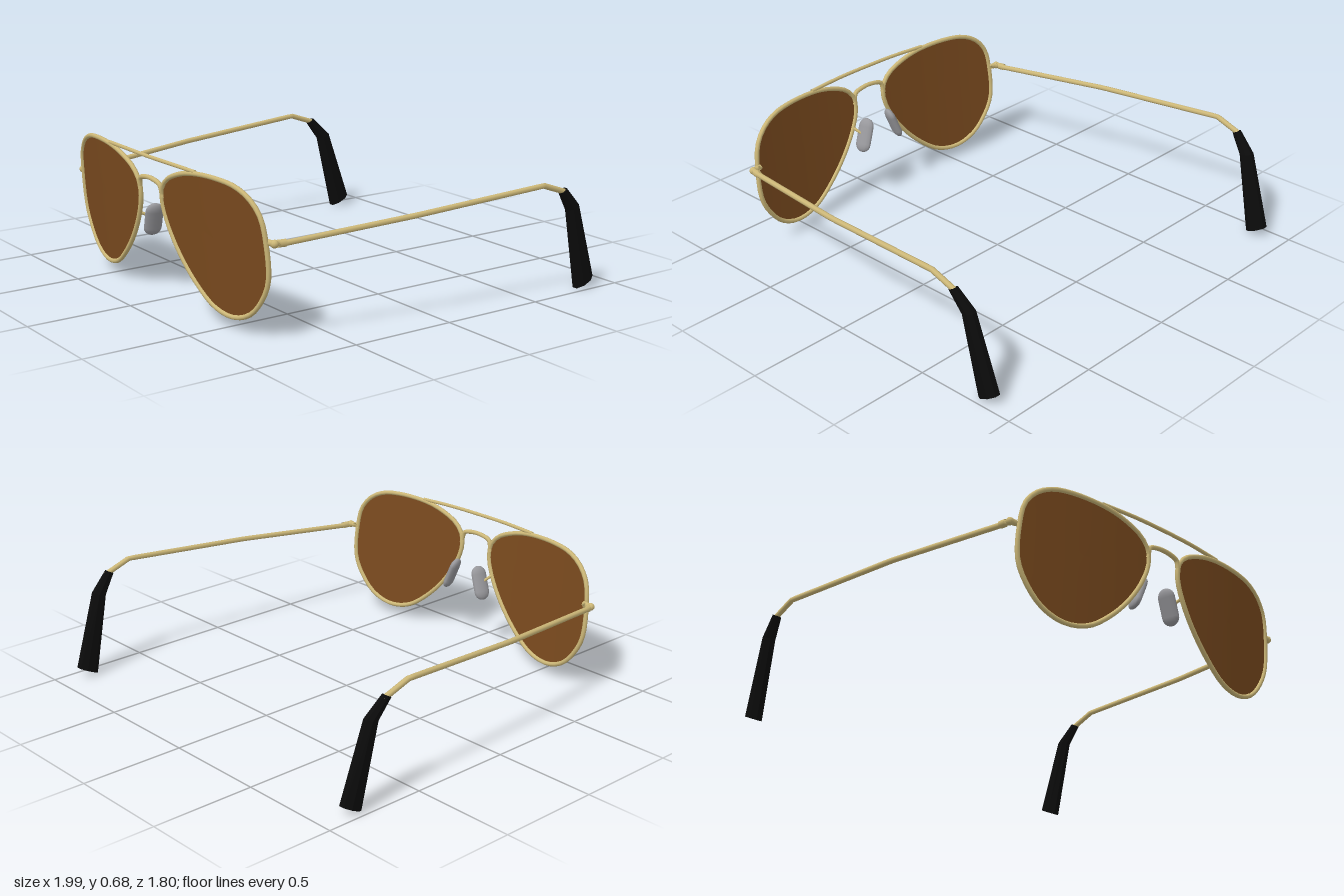
import * as THREE from 'three';

const mat = (name, color, side = THREE.FrontSide) => {
  const m = new THREE.MeshStandardMaterial({ color, side });
  m.name = name;
  return m;
};

// Half outline of one lens, seen from the front
const OUTLINE = [
  [0.095, 0.47], [0.1, 0.535], [0.145, 0.588], [0.25, 0.633], [0.36, 0.655], [0.52, 0.66],
  [0.635, 0.645], [0.715, 0.605], [0.768, 0.54], [0.788, 0.44], [0.786, 0.275], [0.74, 0.18],
  [0.66, 0.098], [0.55, 0.06], [0.425, 0.08], [0.3, 0.165], [0.195, 0.275], [0.125, 0.385],
];

// Gently wrapped and tilted front surface
const frontZ = (x, y) => 0.841 - 0.12 * x * x + 0.08 * y;
const onFront = (x, y) => new THREE.Vector3(x, y, frontZ(x, y));

// Curved sheet of concentric rings inside the rim
function lensGeometry(curve, cx, cy) {
  const rings = 6, n = 54, pos = [], idx = [];
  const edge = curve.getSpacedPoints(n);
  for (let i = 0; i <= rings; i++) {
    for (let j = 0; j < n; j++) {
      const t = i / rings;
      const x = cx + (edge[j].x - cx) * t, y = cy + (edge[j].y - cy) * t;
      pos.push(x, y, frontZ(x, y));
      if (i < rings) {
        const k = (j + 1) % n, a = i * n + j, b = i * n + k;
        // keep the front side facing +z on both lenses
        if (cx > 0) idx.push(a, b, a + n, b, b + n, a + n);
        else idx.push(a, a + n, b, b, a + n, b + n);
      }
    }
  }
  const g = new THREE.BufferGeometry();
  g.setAttribute('position', new THREE.Float32BufferAttribute(pos, 3));
  g.setIndex(idx);
  g.computeVertexNormals();
  return g;
}

// Faceted loft; each section is [x, y, z, halfWidth, vy, vz]
function loftGeometry(sections) {
  const n = 8, pos = [], idx = [];
  sections.forEach(([x, y, z, w, vy, vz], i) => {
    for (let j = 0; j < n; j++) {
      const a = ((j + 0.5) / n) * Math.PI * 2;
      const c = Math.cos(a) * 1.08, s = Math.sin(a) * 1.08;
      pos.push(x + w * c, y + vy * s, z + vz * s);
      if (i < sections.length - 1) {
        const k = (j + 1) % n, p = i * n + j, q = i * n + k;
        idx.push(p, p + n, q, q, p + n, q + n);
      }
    }
  });
  const g = new THREE.BufferGeometry();
  g.setAttribute('position', new THREE.Float32BufferAttribute(pos, 3));
  g.setIndex(idx);
  const flat = g.toNonIndexed();
  flat.computeVertexNormals();
  return flat;
}

export function createModel() {
  const gold = mat('gold metal', 0xcdb878, THREE.DoubleSide);
  const brown = mat('brown lens', 0x7a4a1e, THREE.DoubleSide);
  const black = mat('black rubber', 0x0b0b0b);
  const grey = mat('grey pad', 0x98989c);

  const model = new THREE.Group();
  model.name = 'sunglasses';
  const add = (name, geometry, material) => {
    const m = new THREE.Mesh(geometry, material);
    m.name = name;
    model.add(m);
    return m;
  };
  const wire = (name, points, radius, segments, tension = 0.5) =>
    add(name, new THREE.TubeGeometry(
      new THREE.CatmullRomCurve3(points, false, 'catmullrom', tension), segments, radius, 8), gold);

  for (const s of [1, -1]) {
    const side = s > 0 ? 'left' : 'right';
    const v = (x, y, z) => new THREE.Vector3(s * x, y, z);

    // Lens and rim
    const curve = new THREE.CatmullRomCurve3(OUTLINE.map(([x, y]) => onFront(s * x, y)), true);
    add(side + 'Lens', lensGeometry(curve, s * 0.46, 0.39), brown);
    add(side + 'Rim', new THREE.TubeGeometry(curve, 54, 0.011, 8, true), gold);

    // Hinge: a stub off the rim that turns back into a barrel
    wire(side + 'Hinge', [v(0.78, 0.44, 0.79), v(0.825, 0.44, 0.788)], 0.014, 2);
    const corner = add(side + 'HingeCorner', new THREE.SphereGeometry(0.018, 10, 8), gold);
    corner.position.copy(v(0.827, 0.44, 0.785));
    wire(side + 'HingeBarrel', [v(0.827, 0.44, 0.788), v(0.835, 0.44, 0.735)], 0.017, 2);

    // Temple arm
    wire(side + 'Temple', [
      v(0.831, 0.437, 0.76), v(0.925, 0.481, 0.13), v(0.977, 0.524, -0.55), v(0.976, 0.475, -0.69),
    ], 0.013, 40, 0);

    // Ear tip, closed at both ends by sections of zero size
    add(side + 'EarTip', loftGeometry([
      [s * 0.975, 0.485, -0.668, 0, 0, 0],
      [s * 0.975, 0.485, -0.668, 0.019, 0.01, -0.018],
      [s * 0.962, 0.395, -0.743, 0.027, 0.01, -0.032],
      [s * 0.949, 0.025, -0.843, 0.033, 0.023, -0.049],
      [s * 0.949, 0.025, -0.843, 0, 0, 0],
    ]), black);

    // Nose pad and its wire
    const pad = add(side + 'NosePad',
      new THREE.CapsuleGeometry(0.042, 0.088, 5, 12).scale(0.48, 1, 1), grey);
    pad.position.copy(v(0.098, 0.35, 0.815));
    pad.rotation.set(0, s * 0.25, s * 0.38);
    wire(side + 'PadArm', [v(0.128, 0.385, frontZ(0.128, 0.385)), v(0.118, 0.37, 0.84),
      v(0.105, 0.355, 0.82)], 0.007, 6);
  }

  // Brow bar and bridge
  const bar = [-0.37, -0.18, 0, 0.18, 0.37].map((x) => onFront(x, x * x > 0.1 ? 0.664 : 0.668));
  wire('browBar', bar, 0.009, 16);
  wire('bridge', [[-0.098, 0.5], [-0.088, 0.55], [-0.06, 0.564], [0, 0.571],
    [0.06, 0.564], [0.088, 0.55], [0.098, 0.5]].map(([x, y]) => onFront(x, y)), 0.011, 20);

  return model;
}
